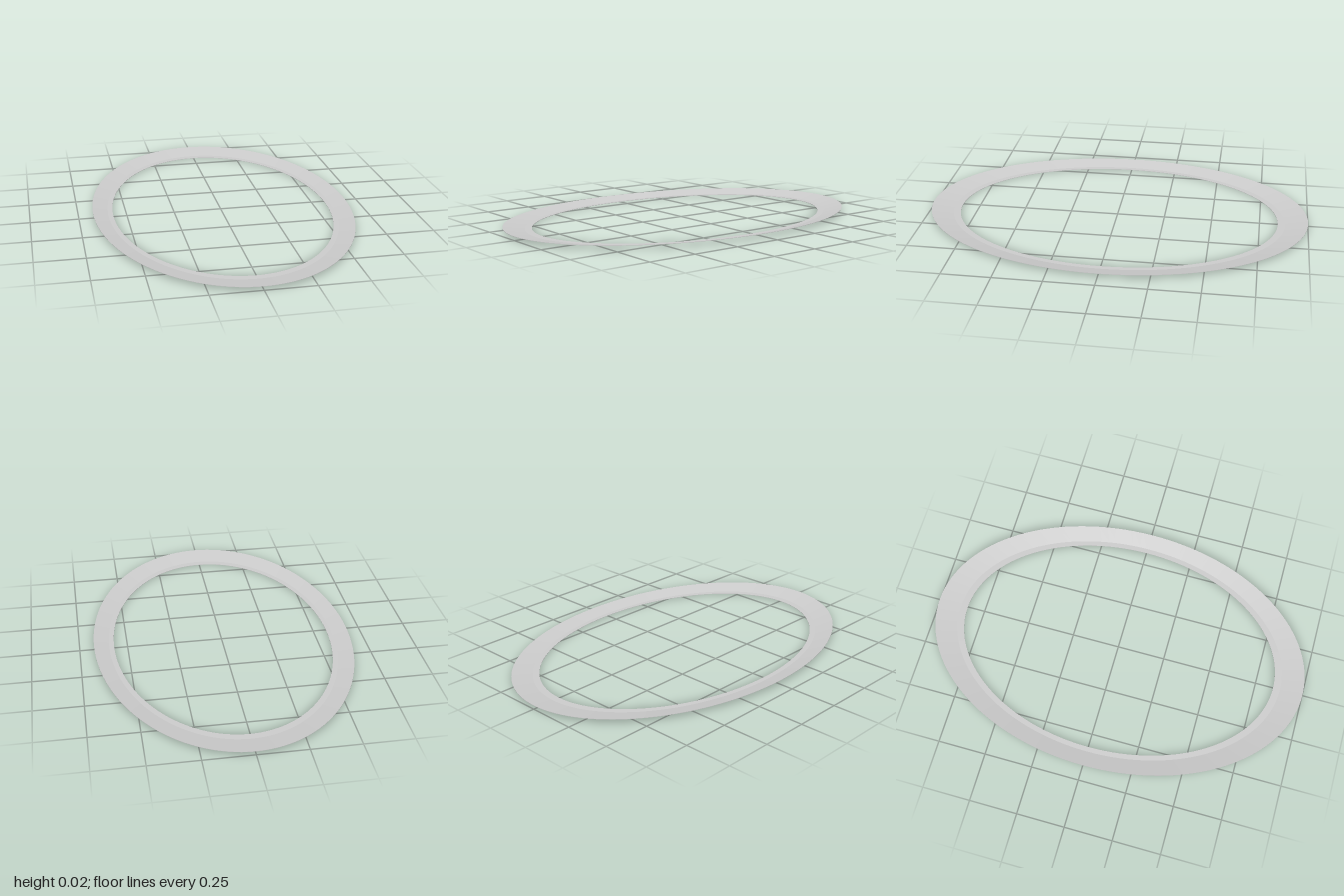
import * as THREE from 'three';
import { toCreasedNormals } from 'three/addons/utils/BufferGeometryUtils.js';

// Shallow oval rim: a flat inner lip and a thin band rising to the outer edge
export function createModel() {
  const group = new THREE.Group();
  group.name = 'ovalRim';
  const thickness = 0.002;

  // Closed cross-section [radius, height], underside outward then back along the top
  const underside = [[0.845, 0], [0.882, 0], [1, 0.019]];
  const topside = underside.map(([r, y]) => [r, y + thickness]).reverse();
  const profile = [...underside, ...topside, underside[0]].map(([r, y]) => new THREE.Vector2(r, y));

  // Turned ring, narrowed in x to an oval
  const ring = new THREE.LatheGeometry(profile, 128);
  ring.scale(0.675, 1, 1);
  const rim = new THREE.Mesh(
    toCreasedNormals(ring, 0.15),
    new THREE.MeshStandardMaterial({ color: 0xcccccc })
  );
  rim.name = 'rim';
  group.add(rim);
  return group;
}
